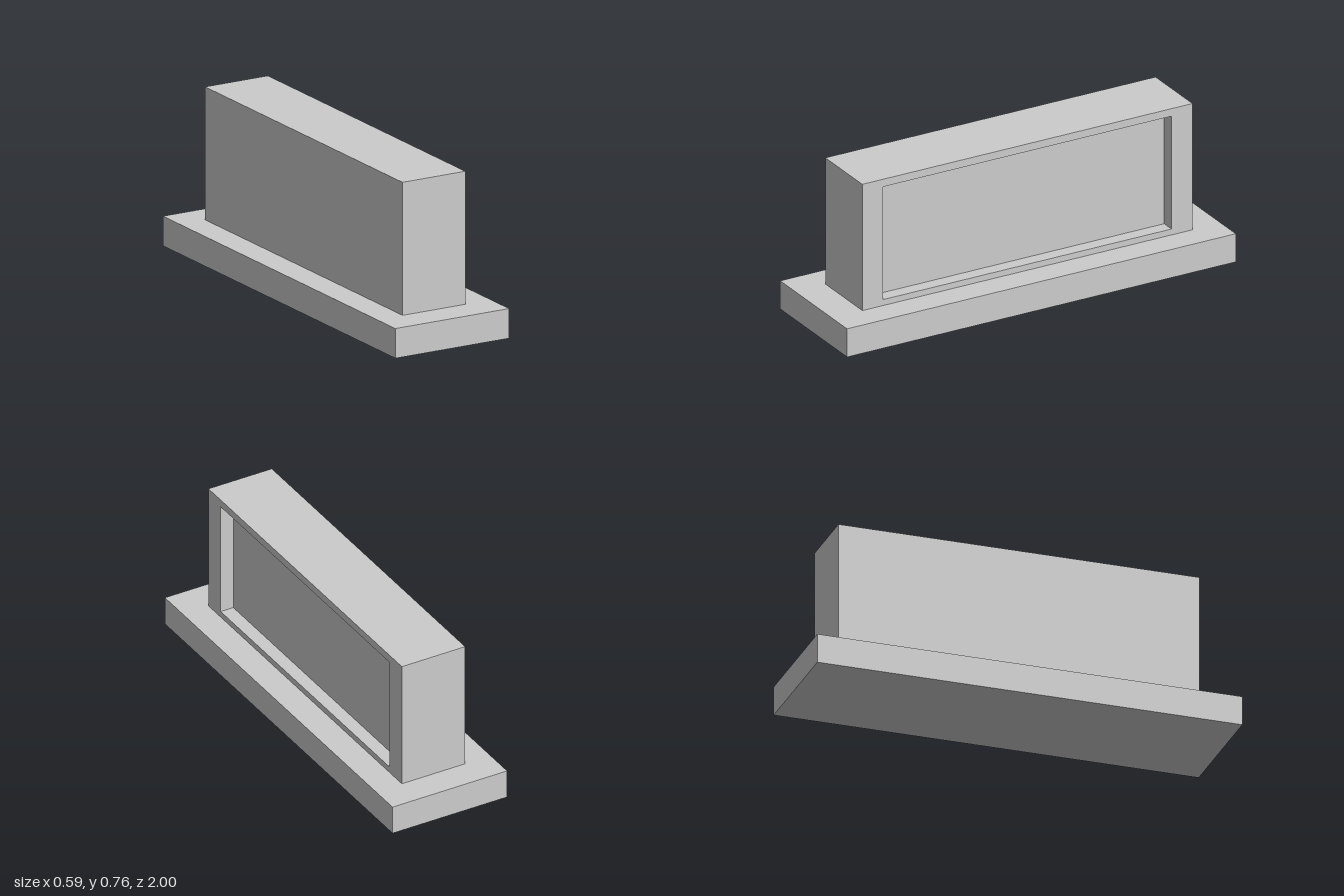
import * as THREE from 'three';

const material = new THREE.MeshStandardMaterial({ color: 0xcccccc, flatShading: true });

// Adds a box given by its minimum and maximum corners
function addBox(group, name, min, max) {
  const size = max.map((v, i) => v - min[i]);
  const mesh = new THREE.Mesh(new THREE.BoxGeometry(...size), material);
  mesh.position.set(...max.map((v, i) => (v + min[i]) / 2));
  mesh.name = name;
  group.add(mesh);
}

// Closed rectangle outline
function rectangle(path, x0, x1, y0, y1) {
  path.moveTo(x0, y0);
  path.lineTo(x1, y0);
  path.lineTo(x1, y1);
  path.lineTo(x0, y1);
  path.closePath();
  return path;
}

export function createModel() {
  const model = new THREE.Group();
  model.name = 'recessedBlockOnPlinth';

  const baseTop = 0.138, top = 0.756;
  const back = -0.855, front = 0.844;
  const left = 0.162, right = -0.164;
  const recessFloor = left - 0.065;

  // Wide flat plinth
  addBox(model, 'plinth', [-0.295, 0, -1], [0.295, baseTop, 1]);

  // Solid part of the upright block, up to the recess floor
  addBox(model, 'block', [right, baseTop, back], [recessFloor, top, front]);

  // Raised frame around the recess on the +x side; shape x runs along -z
  const shape = rectangle(new THREE.Shape(), -front, -back, baseTop, top);
  shape.holes.push(rectangle(new THREE.Path(), -0.737, 0.747, 0.167, 0.719));
  const geometry = new THREE.ExtrudeGeometry(shape, { depth: left - recessFloor, bevelEnabled: false });
  geometry.rotateY(Math.PI / 2);
  const frame = new THREE.Mesh(geometry, material);
  frame.position.x = recessFloor;
  frame.name = 'recessFrame';
  model.add(frame);

  return model;
}
